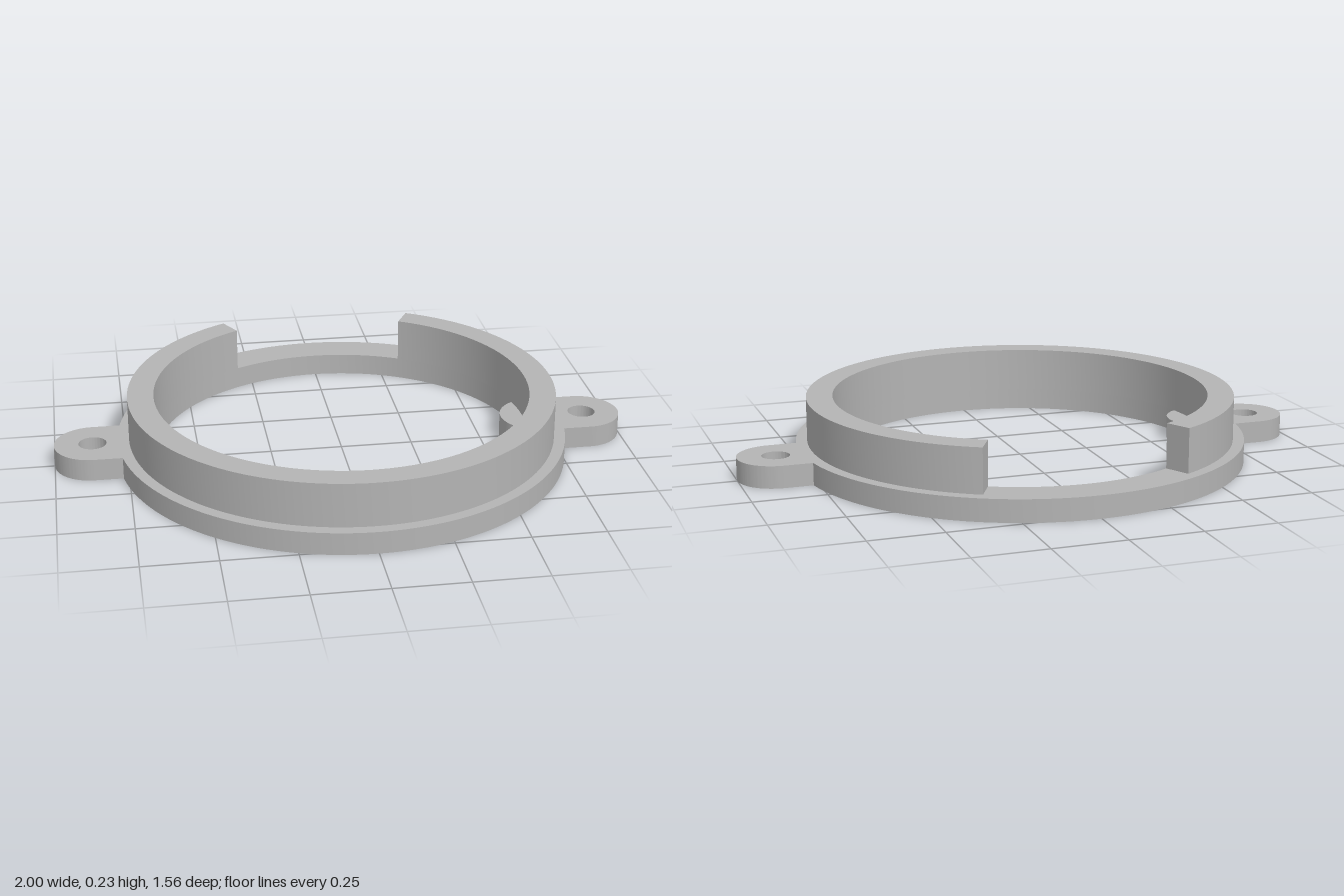
import * as THREE from 'three';
import { toCreasedNormals } from 'three/addons/utils/BufferGeometryUtils.js';

const BASE_H = 0.077, TOP = 0.23;
const R_FLANGE = 0.781, R_WALL = 0.742, R_IN = 0.651;
const R_LUG = 0.132, X_HOLE = 0.868, R_HOLE = 0.048, X_LOBE = 0.705;

// Extrude a plan outline upward (shape +y becomes the back, -z)
function plate(shape, y, height) {
  const geo = new THREE.ExtrudeGeometry(shape, { depth: height, bevelEnabled: false, curveSegments: 64 });
  geo.rotateX(-Math.PI / 2);
  geo.translate(0, y, 0);
  return toCreasedNormals(geo, 0.5);
}

export function createModel() {
  const group = new THREE.Group();
  const grey = new THREE.MeshStandardMaterial({ color: 0xb4b4b4 });
  grey.name = 'grey';
  const PI = Math.PI;

  // Flange outline: ring with a rounded mounting lug on each side
  const a = Math.asin(R_LUG / R_FLANGE);
  const outline = new THREE.Shape();
  outline.absarc(0, 0, R_FLANGE, a, PI - a, false);
  outline.absarc(-X_HOLE, 0, R_LUG, PI / 2, 1.5 * PI, false);
  outline.absarc(0, 0, R_FLANGE, PI + a, 2 * PI - a, false);
  outline.absarc(X_HOLE, 0, R_LUG, -PI / 2, PI / 2, false);
  outline.closePath();

  // Central opening, with the rounded inner ends of the lugs poking in
  const ix = (R_IN ** 2 - R_LUG ** 2 + X_LOBE ** 2) / (2 * X_LOBE);
  const iy = Math.sqrt(R_IN ** 2 - ix ** 2);
  const b = Math.atan2(iy, ix), g = Math.atan2(iy, X_LOBE - ix);
  const opening = new THREE.Path();
  opening.absarc(0, 0, R_IN, b, PI - b, false);
  opening.absarc(-X_LOBE, 0, R_LUG, g, -g, true);
  opening.absarc(0, 0, R_IN, PI + b, 2 * PI - b, false);
  opening.absarc(X_LOBE, 0, R_LUG, PI + g, PI - g, true);
  opening.closePath();
  outline.holes.push(opening);

  // Screw holes
  for (const s of [-1, 1]) {
    outline.holes.push(new THREE.Path().absarc(s * X_HOLE, 0, R_HOLE, 0, 2 * PI, true));
  }
  const flange = new THREE.Mesh(plate(outline, 0, BASE_H), grey);
  flange.name = 'flangeWithLugs';
  group.add(flange);

  // Raised collar, open at the back
  const gap = Math.atan2(0.35, 0.655);
  const from = PI / 2 + gap, to = 2.5 * PI - gap;
  const arc = new THREE.Shape();
  arc.absarc(0, 0, R_WALL, from, to, false);
  arc.absarc(0, 0, R_IN, to, from, true);
  arc.closePath();
  const collar = new THREE.Mesh(plate(arc, BASE_H, TOP - BASE_H), grey);
  collar.name = 'collar';
  group.add(collar);

  return group;
}
